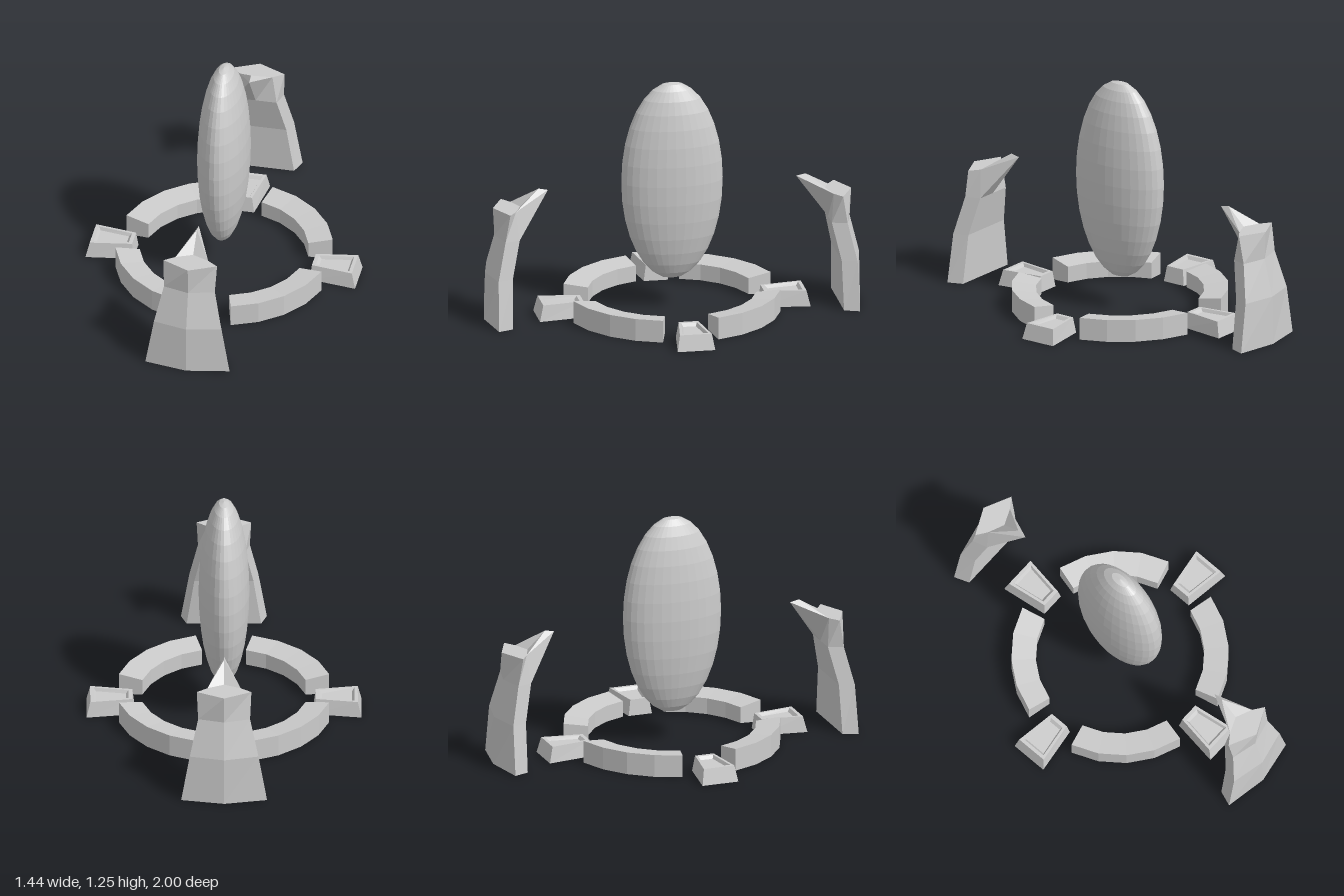
import * as THREE from 'three';

const material = new THREE.MeshStandardMaterial({ color: 0xcccccc, flatShading: true });

// Skin a stack of closed rings; both ends are closed by a fan from corner `pivot`.
function loft(rings, pivot = 0) {
  const pos = [];
  const tri = (...pts) => {
    const [a, b, c] = pts.map((p) => new THREE.Vector3(...p));
    if (b.clone().sub(a).cross(c.clone().sub(a)).length() < 1e-7) return;
    pts.forEach((p) => pos.push(...p));
  };
  const n = rings[0].length;
  for (let k = 0; k < rings.length - 1; k++) {
    const lo = rings[k], hi = rings[k + 1];
    for (let i = 0; i < n; i++) {
      const j = (i + 1) % n;
      tri(lo[i], lo[j], hi[j]);
      tri(lo[i], hi[j], hi[i]);
    }
  }
  const first = rings[0], last = rings[rings.length - 1];
  for (let i = 1; i < n - 1; i++) {
    const a = (pivot + i) % n, b = (pivot + i + 1) % n;
    tri(first[pivot], first[b], first[a]);
    tri(last[pivot], last[a], last[b]);
  }
  const geo = new THREE.BufferGeometry();
  geo.setAttribute('position', new THREE.Float32BufferAttribute(pos, 3));
  geo.computeVertexNormals();
  return geo;
}

// Horizontal six-sided pillar section: outer ridge, outer corners, inner corners, inner centre.
function pillarRing(y, ridgeZ, outerX, outerZ, innerX, innerZ, centre = [0, y, innerZ]) {
  return [
    [0, y, ridgeZ], [outerX, y, outerZ], [innerX, y, innerZ],
    centre, [-innerX, y, innerZ], [-outerX, y, outerZ],
  ];
}

function pillarGeometry() {
  const top = (centre) => pillarRing(0.61, 0.953, 0.143, 0.885, 0.087, 0.845, centre);
  return loft([
    pillarRing(0, 1.0, 0.225, 0.96, 0.195, 0.88),
    pillarRing(0.26, 0.995, 0.18, 0.955, 0.155, 0.875),
    pillarRing(0.46, 0.945, 0.136, 0.91, 0.112, 0.83),
    top([0, 0.693, 0.66]), // lower edge of the inward spike
    top([0, 0.703, 0.71]), // upper edge of the spike
    top([0, 0.61, 0.808]), // spike meets the flat top
  ], 3);
}

// Tapered block with a shallow tray sunk in its top.
function blockGeometry() {
  const ring = (y, outerZ, outerX, innerZ, innerX) => [
    [-outerX, y, outerZ], [outerX, y, outerZ], [innerX, y, innerZ], [-innerX, y, innerZ],
  ];
  return loft([
    ring(0, 0.72, 0.1, 0.47, 0.065),
    ring(0.085, 0.7, 0.085, 0.48, 0.052),
    ring(0.085, 0.682, 0.068, 0.5, 0.041),
    ring(0.068, 0.67, 0.058, 0.514, 0.034),
  ]);
}

// Quarter of the ring, thinner towards its inner side.
function arcGeometry() {
  const section = [[0.57, 0], [0.442, 0.016], [0.442, 0.103], [0.57, 0.12]];
  const rings = [];
  for (let k = 0; k <= 4; k++) {
    const a = THREE.MathUtils.degToRad(15 + 15 * k);
    rings.push(section.map(([r, y]) => [r * Math.sin(a), y, r * Math.cos(a)]));
  }
  return loft(rings);
}

export function createModel() {
  const model = new THREE.Group();
  const add = (name, geometry, turn = 0) => {
    const mesh = new THREE.Mesh(geometry, material);
    mesh.name = name;
    mesh.rotation.y = turn;
    model.add(mesh);
    return mesh;
  };

  // Floating egg in the middle
  const egg = add('egg', new THREE.SphereGeometry(1, 32, 16));
  egg.scale.set(0.133, 0.54, 0.27);
  egg.position.y = 0.71;

  // Ring quarters and the blocks between them
  const arc = arcGeometry(), block = blockGeometry();
  const sides = ['front', 'left', 'back', 'right'];
  sides.forEach((side, i) => {
    add(`ringSegment${i + 1}`, arc, i * Math.PI / 2);
    add(`${side}Block`, block, i * Math.PI / 2);
  });

  // Curved pillars in front and behind
  const pillar = pillarGeometry();
  add('frontPillar', pillar);
  add('backPillar', pillar, Math.PI);

  return model;
}
